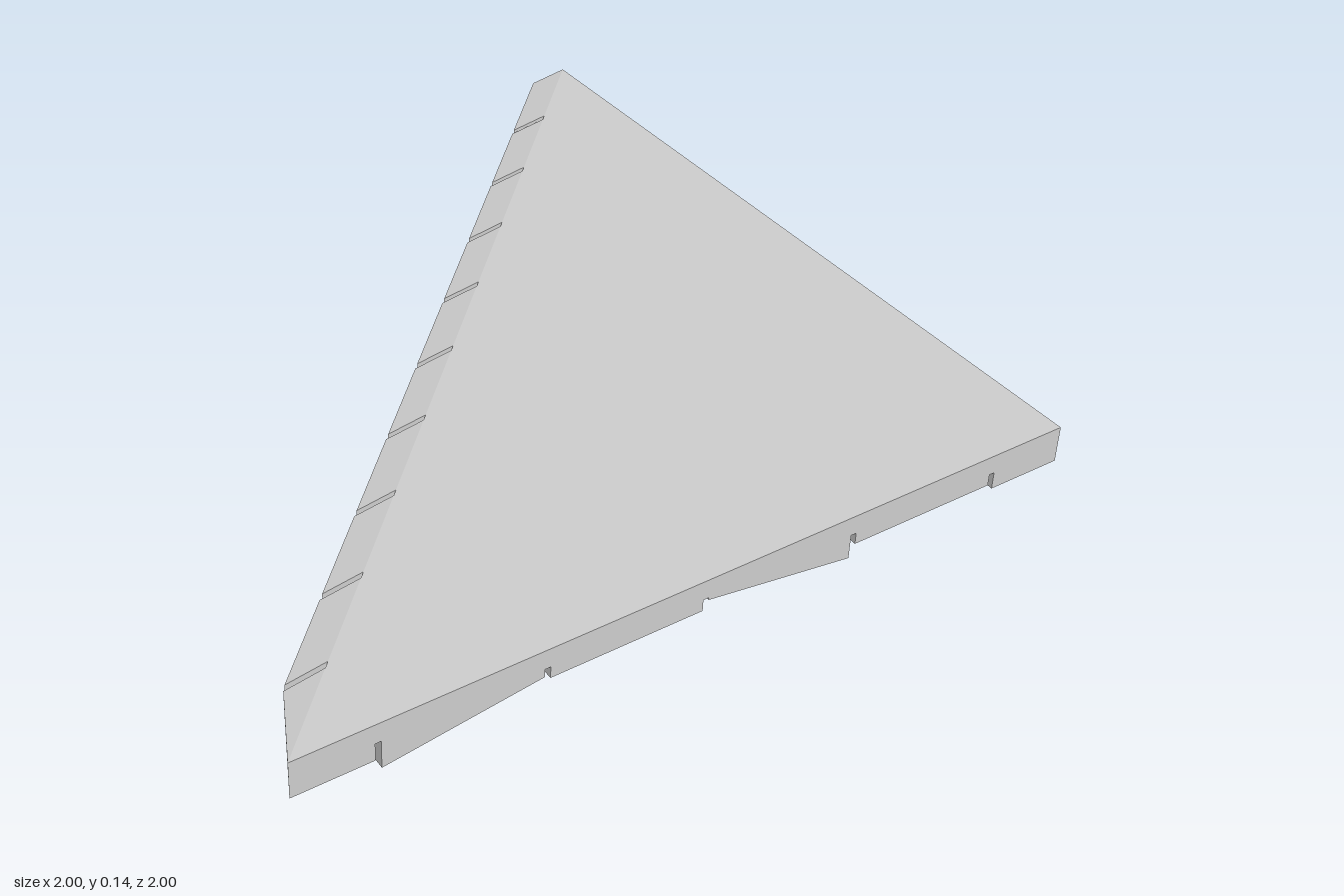
import * as THREE from 'three';

const TOP = 0.14, LIP = 0.125, JOINT = 0.1; // slab top, outer lip, start of the bricks
const GAP = 0.007, BEVEL = 0.01, ROW = 0.2, BRICK = 0.4;

// Bottom heights [left end, right end] of each brick, rows from the front, bricks from x = 1 to the left
const ROWS = [
  { tilt: 0.01, bricks: [[.04, .04], [.055, .055], [.08, .02], [.055, .055], [.012, .065], [.04, .04]] },
  { tilt: 0, bricks: [[.03, .08], [.035, .05], [.04, .04], [.012, .045], [.06, .04]] },
  { tilt: 0, bricks: [[.04, .05], [.05, .03], [.012, .045], [.04, .06], [.05, .04]] },
  { tilt: .015, bricks: [[.03, .045], [.05, .03], [.035, .05], [.045, .04]] },
  { tilt: -.015, bricks: [[.04, .04], [.015, .05], [.04, .03], [.05, .04]] },
  { tilt: -.015, bricks: [[.015, .05], [.05, .035], [.04, .05]] },
  { tilt: -.01, bricks: [[.04, .04], [.03, .02], [.015, .05]] },
  { tilt: 0, bricks: [[.045, .015], [.04, .05]] },
  { tilt: 0, bricks: [[.04, .03], [.05, 0]] },
  { tilt: 0, bricks: [[.03, .05]] },
];

// Closed solid through rings of [x, y, z], listed from top to bottom
function loft(rings) {
  const n = rings[0].length, pos = [];
  const tri = (a, b, c) => pos.push(...a, ...b, ...c);
  for (let r = 0; r < rings.length - 1; r++) {
    const t = rings[r], b = rings[r + 1];
    for (let i = 0; i < n; i++) {
      const j = (i + 1) % n;
      tri(t[i], t[j], b[j]);
      tri(t[i], b[j], b[i]);
    }
  }
  const first = rings[0], last = rings[rings.length - 1];
  for (let i = 1; i < n - 1; i++) {
    tri(first[0], first[i + 1], first[i]);
    tri(last[0], last[i], last[i + 1]);
  }
  const g = new THREE.BufferGeometry();
  g.setAttribute('position', new THREE.Float32BufferAttribute(pos, 3));
  g.computeVertexNormals();
  return g;
}

// Keeps the part of an [x, z] polygon where a*x + b*z >= c
function clip(poly, a, b, c) {
  const out = [], d = (p) => a * p[0] + b * p[1] - c;
  poly.forEach((p, i) => {
    const q = poly[(i + 1) % poly.length], dp = d(p), dq = d(q);
    if (dp >= 0) out.push(p);
    if (dp * dq < 0) {
      const t = dp / (dp - dq);
      out.push([p[0] + (q[0] - p[0]) * t, p[1] + (q[1] - p[1]) * t]);
    }
  });
  return out;
}

const outerX = (z) => (z > 0.8 ? -0.9 - (z - 0.8) * 0.5 : -0.1 - z);

export function createModel() {
  const model = new THREE.Group();
  const material = new THREE.MeshStandardMaterial({ color: 0xcccccc, flatShading: true });
  const add = (name, rings) => {
    const mesh = new THREE.Mesh(loft(rings), material);
    mesh.name = name;
    model.add(mesh);
  };

  // Triangular slab
  const corners = [[1, -1], [1, 1], [-1, 1]];
  add('slab', [TOP, JOINT - 0.01].map((y) => corners.map(([x, z]) => [x, y, z])));

  ROWS.forEach(({ tilt, bricks }, row) => {
    const zFront = 1 - row * ROW, zBack = zFront - ROW;
    const z0 = row === ROWS.length - 1 ? -1 : zBack + GAP;
    const z1 = row === 0 ? 1 : zFront - GAP;

    // Sloping lip along the diagonal
    const lip = [[outerX(z0), z0, LIP], [-z0, z0, TOP], [-z1, z1, TOP], [outerX(z1), z1, LIP]];
    add('edgeStone', [
      lip.map(([x, z, y]) => [x, y, z]),
      lip.map(([x, z]) => [x, JOINT, z]),
    ]);

    // Staggered, tilted bricks on the underside
    bricks.forEach(([left, right], i) => {
      const xa = (row % 2 ? 0.6 : 0.8) - i * BRICK, xb = xa + BRICK;
      const x0 = xa + GAP, x1 = Math.min(1, xb - GAP);
      let poly = [[x0, z0], [x1, z0], [x1, z1], [x0, z1]];
      poly = clip(poly, 1, 1, -0.1);
      poly = clip(poly, 2, 1, -1);
      if (poly.length < 3) return;
      const cx = poly.reduce((s, p) => s + p[0], 0) / poly.length;
      const cz = poly.reduce((s, p) => s + p[1], 0) / poly.length;
      const bottom = (x, z) => Math.max(0,
        left + (right - left) * (x - xa) / BRICK + tilt * ((zFront - z) / ROW - 0.5));
      const inset = (v, c) => v - Math.sign(v - c) * Math.min(BEVEL, Math.abs(v - c) / 2);
      add('brick', [
        poly.map(([x, z]) => [x, JOINT, z]),
        poly.map(([x, z]) => [x, bottom(x, z) + BEVEL, z]),
        poly.map(([x, z]) => {
          const bx = inset(x, cx), bz = inset(z, cz);
          return [bx, bottom(bx, bz), bz];
        }),
      ]);
    });
  });
  return model;
}
